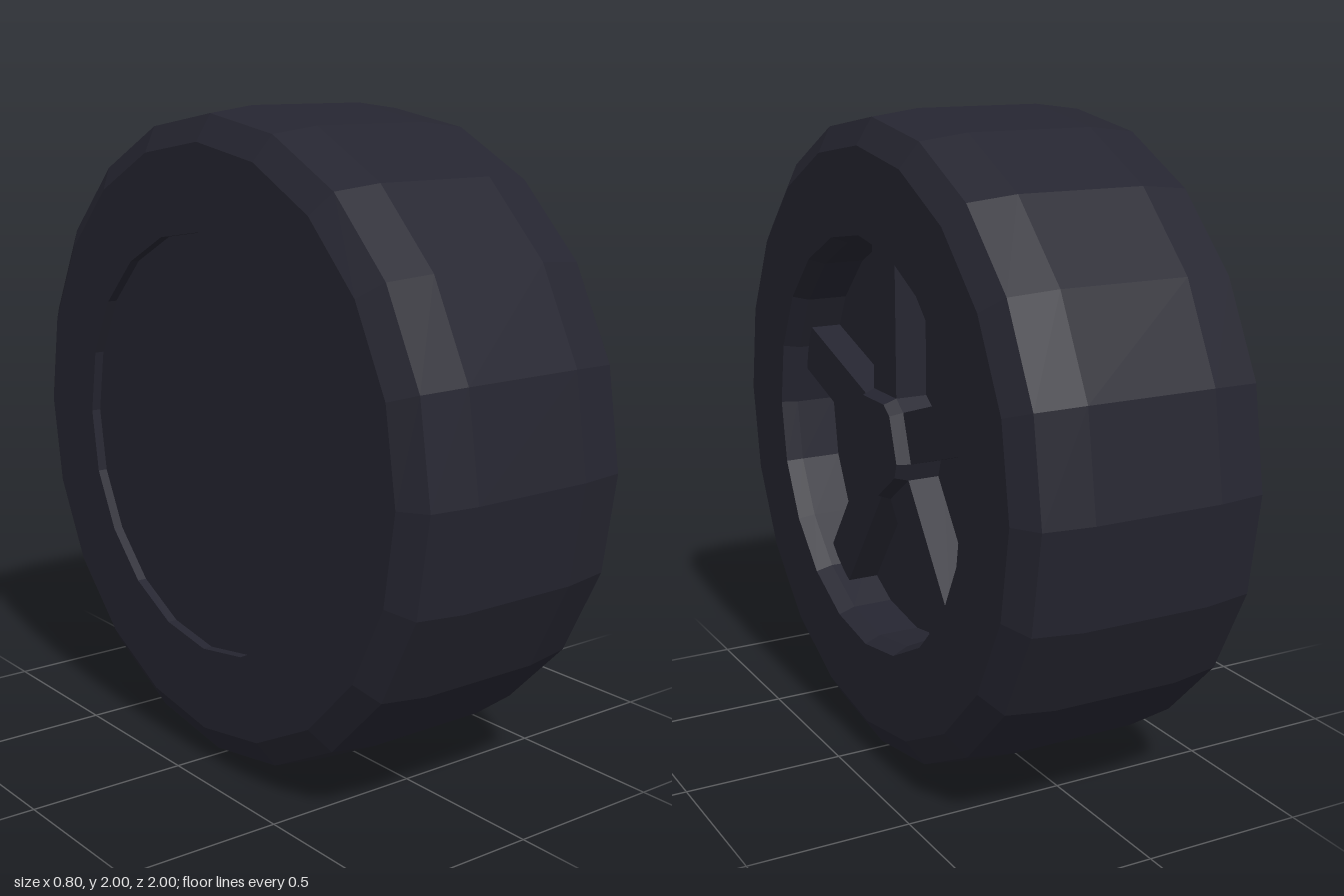
import * as THREE from 'three';

const SIDES = 20;
const SPOKES = 5;
const SPOKE_WIDTH = 0.155;

// Spins a profile of [radius, x] points around the x axis
function spin(profile) {
  const points = profile.map(([r, x]) => new THREE.Vector2(r, x));
  return new THREE.LatheGeometry(points, SIDES).rotateZ(-Math.PI / 2);
}

export function createModel() {
  const wheel = new THREE.Group();
  wheel.name = 'wheel';

  const charcoal = new THREE.MeshStandardMaterial({ color: 0x252530, flatShading: true });
  charcoal.name = 'charcoal';

  const add = (name, geometry) => {
    const mesh = new THREE.Mesh(geometry, charcoal);
    mesh.name = name;
    wheel.add(mesh);
    return mesh;
  };

  // Tyre: tread, shoulders and flat sidewalls
  add('tyre', spin([
    [0.64, -0.4], [0.9, -0.4], [0.98, -0.35], [1, -0.2],
    [1, 0.2], [0.98, 0.35], [0.9, 0.4], [0.64, 0.4],
  ]));

  // Rim: bevelled lip, deep well and back plate on the outer side
  add('rimWell', spin([[0.64, 0.4], [0.62, 0.35], [0.62, 0.22], [0, 0.22]]));

  // Shallow recessed plate on the inner side
  add('innerPlate', spin([[0, -0.37], [0.64, -0.37], [0.64, -0.4]]));

  // Five spokes
  for (let i = 0; i < SPOKES; i++) {
    const spoke = new THREE.BoxGeometry(0.12, 0.475, SPOKE_WIDTH);
    spoke.translate(0.26, 0.3775, 0);
    add('spoke', spoke).rotation.x = (i / SPOKES) * Math.PI * 2;
  }

  // Hub: ten-sided, with a wide side for each spoke and a bevelled cap
  const corners = [];
  for (let i = 0; i < SPOKES; i++) {
    const turn = Math.PI / 2 + (i / SPOKES) * Math.PI * 2;
    for (const side of [-1, 1]) {
      const corner = new THREE.Vector2(0.155, (side * SPOKE_WIDTH) / 2);
      corners.push(corner.rotateAround(new THREE.Vector2(), turn));
    }
  }
  const hub = new THREE.ExtrudeGeometry(new THREE.Shape(corners), {
    depth: 0.12, bevelEnabled: true, bevelSegments: 1,
    bevelThickness: 0.04, bevelSize: 0.015, bevelOffset: -0.015,
  });
  hub.rotateY(Math.PI / 2).translate(0.2, 0, 0);
  add('hub', hub);

  wheel.children.forEach((part) => { part.position.y = 1; });
  return wheel;
}
